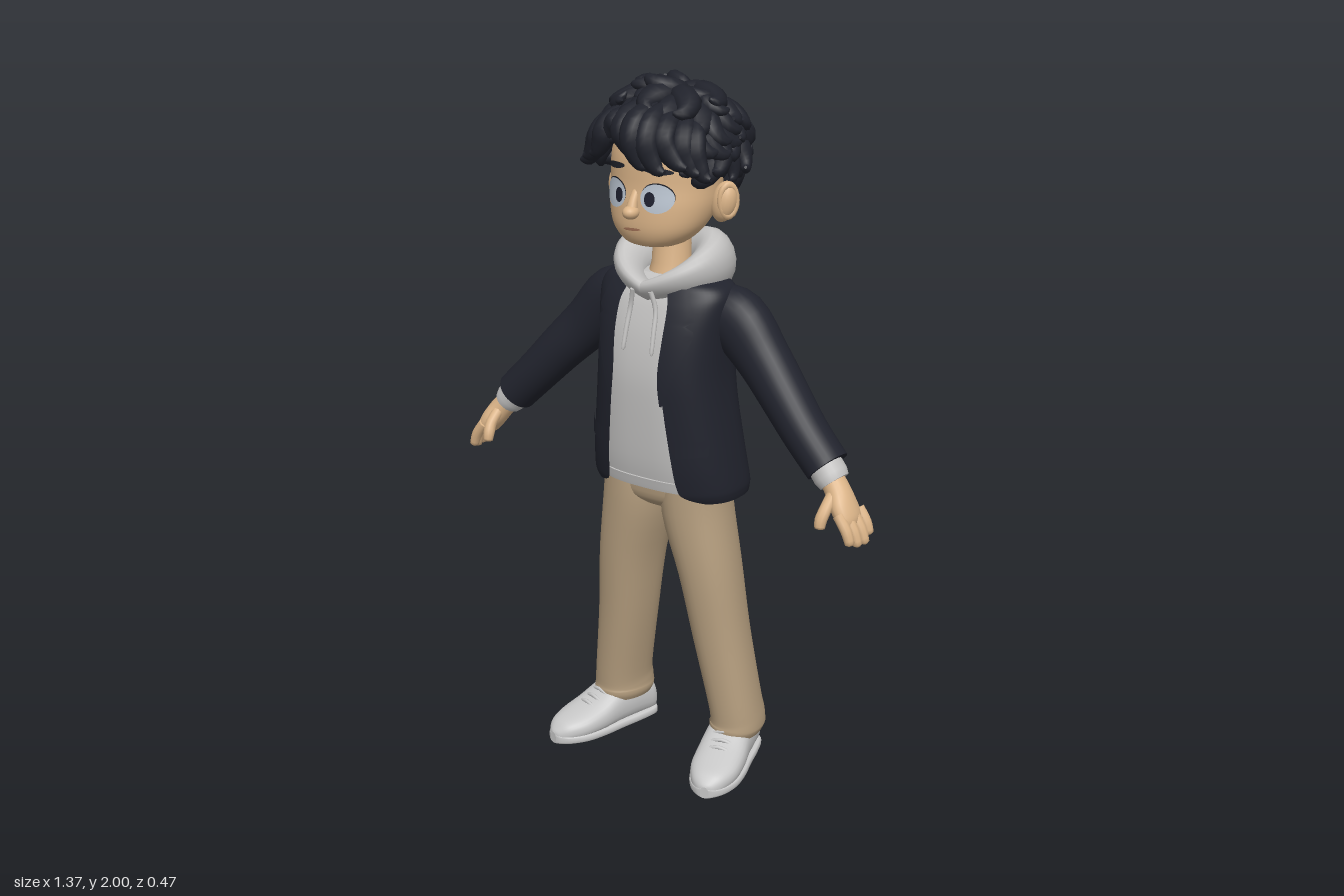
import * as THREE from 'three';
import { mergeGeometries } from 'three/addons/utils/BufferGeometryUtils.js';

const V = (x, y, z) => new THREE.Vector3(x, y, z);
const mat = (name, color, side = THREE.FrontSide) => {
  const m = new THREE.MeshStandardMaterial({ color, side });
  m.name = name;
  return m;
};

// Skin a list of rings; wrap closes each ring, caps close the ends
function loft(rings, wrap = true, caps = true) {
  const n = rings[0].length, pos = [], idx = [];
  rings.forEach(r => r.forEach(p => pos.push(p.x, p.y, p.z)));
  for (let i = 0; i < rings.length - 1; i++) {
    for (let j = 0; j < (wrap ? n : n - 1); j++) {
      const k = (j + 1) % n, a = i * n + j, b = i * n + k;
      idx.push(a, b, b + n, a, b + n, a + n);
    }
  }
  if (caps) {
    [rings[0], rings[rings.length - 1]].forEach((r, end) => {
      const base = pos.length / 3, c = V(0, 0, 0);
      r.forEach(p => { pos.push(p.x, p.y, p.z); c.addScaledVector(p, 1 / n); });
      pos.push(c.x, c.y, c.z);
      for (let j = 0; j < n; j++) {
        const k = (j + 1) % n;
        idx.push(base + n, base + (end ? j : k), base + (end ? k : j));
      }
    });
  }
  const g = new THREE.BufferGeometry();
  g.setAttribute('position', new THREE.Float32BufferAttribute(pos, 3));
  g.setIndex(idx);
  g.computeVertexNormals();
  return g;
}

// Spline through rows of numbers
function smooth(rows, k = 4) {
  const out = [], R = i => rows[Math.min(Math.max(i, 0), rows.length - 1)];
  for (let i = 0; i < rows.length - 1; i++) {
    for (let s = 0; s < k; s++) {
      const t = s / k;
      out.push(R(i).map((b, c) => {
        const a = R(i - 1)[c], d = R(i + 1)[c], e = R(i + 2)[c];
        return b + 0.5 * t * (d - a + t * (2 * a - 5 * b + 4 * d - e + t * (3 * (b - d) + e - a)));
      }));
    }
  }
  out.push(R(rows.length - 1));
  return out;
}
const pw = (v, n) => Math.sign(v) * Math.pow(Math.abs(v), 2 / n);

// Upright body from rows [y, halfWidth, zFront, zBack, frontOpening]
function body(rows, n = 2.3, open = false, seg = 48) {
  return loft(rows.map(([y, rx, zf, zb, o]) => {
    const a0 = open ? Math.asin(Math.pow(Math.min(o / rx, 1), n / 2)) : 0;
    return Array.from({ length: seg }, (_, j) => {
      const a = a0 + (2 * Math.PI - 2 * a0) * j / (open ? seg - 1 : seg);
      return V(rx * pw(Math.sin(a), n), y, (zf + zb) / 2 + (zf - zb) / 2 * pw(Math.cos(a), n));
    });
  }), !open, !open);
}
function rowAt(rows, y) {
  let i = 0;
  while (i < rows.length - 2 && rows[i + 1][0] < y) i++;
  const t = (y - rows[i][0]) / (rows[i + 1][0] - rows[i][0]);
  return rows[i].map((v, c) => v + (rows[i + 1][c] - v) * t);
}
function frontZ(rows, x, y, n) {
  const [, rx, zf, zb] = rowAt(rows, y);
  const q = Math.min(Math.abs(x) / rx, 1);
  return (zf + zb) / 2 + (zf - zb) / 2 * Math.pow(1 - Math.pow(q, n), 1 / n);
}

// Limb along rows [x, y, z, sideRadius, frontRadius]
function limb(rows, { ref = V(0, 0, 1), n = 2, seg = 20, dir = null } = {}) {
  const P = rows.map(r => V(r[0], r[1], r[2]));
  return loft(rows.map((r, i) => {
    const T = dir ? dir : P[Math.min(i + 1, P.length - 1)].clone().sub(P[Math.max(i - 1, 0)]).normalize();
    const S = T.clone().cross(ref).normalize(), F = S.clone().cross(T);
    return Array.from({ length: seg }, (_, j) => {
      const a = 2 * Math.PI * j / seg;
      return P[i].clone().addScaledVector(S, r[3] * pw(Math.sin(a), n)).addScaledVector(F, r[4] * pw(Math.cos(a), n));
    });
  }));
}
// Round-ended cord through points
const cord = (pts, r, seg = 10) => limb(smooth(pts.map((p, i) => {
  const q = i === pts.length - 1 ? r * 0.85 : r;
  return [...p, q, q];
}), 3).concat([[0, 1, 2].map(c => pts[pts.length - 1][c] + (pts[pts.length - 1][c] - pts[pts.length - 2][c]) * 0.16).concat(r * 0.35, r * 0.35)]), { seg });

const sheet = (nu, nv, fn) => loft(Array.from({ length: nv + 1 }, (_, i) =>
  Array.from({ length: nu + 1 }, (_, j) => V(...fn(j / nu, i / nv)))), false, false);

export function createModel() {
  const model = new THREE.Group();
  const skin = mat('skin', 0xdbb488), hair = mat('hair', 0x20222b), cloth = mat('jacket', 0x21232d, THREE.DoubleSide);
  const grey = mat('hoodie', 0xc3c2c1), tan = mat('trousers', 0xb49d7e), shoeMat = mat('shoes', 0xc8c8c8);
  const white = mat('eyeWhite', 0xbcc6d2), dark = mat('iris', 0x1d1f2e), lip = mat('lips', 0xa8765a);
  const add = (name, g, m, parent = model) => {
    const mesh = new THREE.Mesh(g, m);
    mesh.name = name;
    parent.add(mesh);
    return mesh;
  };
  const ball = (name, m, p, s) => {
    const b = add(name, new THREE.SphereGeometry(1, 20, 14), m);
    b.position.set(...p);
    b.scale.set(...s);
    return b;
  };

  // Jacket shell, open at the front, over the hoodie
  const coat = smooth([[0.828, 0.23, 0.115, -0.172, 0.185], [0.845, 0.234, 0.125, -0.175, 0.135], [0.87, 0.235, 0.132, -0.175, 0.118],
    [0.95, 0.225, 0.145, -0.165, 0.108], [1.1, 0.205, 0.155, -0.15, 0.09], [1.2, 0.197, 0.155, -0.145, 0.08], [1.3, 0.2, 0.14, -0.14, 0.085],
    [1.38, 0.208, 0.115, -0.13, 0.085], [1.42, 0.205, 0.095, -0.12, 0.075], [1.445, 0.18, 0.08, -0.11, 0.06], [1.46, 0.12, 0.06, -0.095, 0.04]]);
  add('jacket', body(coat, 2.5, true, 56), cloth);
  const shirt = coat.filter(r => r[0] > 0.85).map(([y, rx, zf, zb]) => [y, rx - 0.014, zf - 0.012, zb + 0.015]);
  add('hoodieBody', body(shirt, 2.5), grey);
  add('hoodieHem', body(shirt.filter(r => r[0] < 0.9).map(([y, rx, zf, zb]) => [y, rx, zf + 0.006, zb]), 2.5), grey);

  // Lapels and pocket flaps follow the jacket front
  const lapelEdge = [[1.12, 0.09], [1.33, 0.165], [1.345, 0.135], [1.36, 0.16], [1.445, 0.125]];
  for (const s of [1, -1]) {
    add('lapel', sheet(6, 24, (u, v) => {
      const y = 1.12 + 0.32 * v, a = rowAt(coat, y)[4] - 0.004, x = a + (rowAt(lapelEdge, y)[1] - a) * u;
      return [s * x, y, frontZ(coat, x, y, 2.5) + 0.008];
    }), cloth);
    add('pocketFlap', sheet(8, 2, (u, v) => {
      const x = 0.125 + 0.075 * u, y = 0.97 + 0.045 * v + 0.01 * u;
      return [s * x, y, frontZ(coat, x, y, 2.5) + 0.008];
    }), cloth);
  }

  // Hood resting around the neck, larger at the back, meeting in a V at the front
  const hoodRings = Array.from({ length: 49 }, (_, i) => {
    const a = 2 * Math.PI * i / 48, back = (1 - Math.cos(a)) / 2, side = Math.abs(Math.sin(a));
    const r = 0.036 + 0.034 * back, h = 0.034 + 0.05 * back + 0.016 * side;
    const c = V(0.119 * Math.sin(a), 1.42 + 0.045 * back + 0.04 * side, -0.02 + 0.108 * Math.cos(a));
    return Array.from({ length: 16 }, (_, j) => {
      const b = -2 * Math.PI * j / 16, o = r * Math.cos(b) + 0.025 * Math.sin(b) * (1 - 1.6 * back);
      return c.clone().add(V(Math.sin(a) * o, h * Math.sin(b), Math.cos(a) * o));
    });
  });
  add('hood', loft(hoodRings, true, false), grey);
  for (const s of [1, -1]) {
    add('drawstring', cord([[s * 0.03, 1.43, 0.122], [s * 0.042, 1.38, 0.115], [s * 0.046, 1.32, 0.13], [s * 0.048, 1.265, 0.143]], 0.007), grey);
  }

  // Sleeves, cuffs and hands
  for (const s of [1, -1]) {
    const flip = rows => rows.map(([x, ...r]) => [s * x, ...r]);
    add('sleeve', limb(smooth(flip([[0.13, 1.36, -0.04, 0.075, 0.08], [0.21, 1.338, -0.04, 0.092, 0.078], [0.3, 1.25, -0.03, 0.078, 0.072],
      [0.38, 1.17, -0.01, 0.07, 0.07], [0.46, 1.085, 0.008, 0.064, 0.066], [0.54, 1.005, 0.018, 0.061, 0.065]])), { seg: 28 }), cloth);
    add('cuff', limb(flip([[0.52, 1.025, 0.02, 0.047, 0.05], [0.555, 0.985, 0.025, 0.048, 0.05], [0.568, 0.97, 0.026, 0.042, 0.045]])), grey);
    add('palm', limb(smooth(flip([[0.55, 0.99, 0.025, 0.032, 0.034], [0.585, 0.95, 0.036, 0.034, 0.038], [0.61, 0.915, 0.045, 0.032, 0.048],
      [0.632, 0.883, 0.048, 0.025, 0.047], [0.643, 0.867, 0.048, 0.012, 0.035]]))), skin);
    [0.006, 0.034, 0.062, 0.087].forEach((z, i) => {
      const k = [0.8, 1, 1, 0.9][i], x = 0.634 - 0.2 * z;
      add('finger', cord(flip([[x, 0.905, z], [x + 0.03 * k, 0.905 - 0.042 * k, z + 0.002], [x + 0.044 * k, 0.905 - 0.08 * k, z + 0.002]]), 0.016), skin);
    });
    add('thumb', cord(flip([[0.582, 0.95, 0.055], [0.582, 0.918, 0.092], [0.578, 0.89, 0.11], [0.578, 0.868, 0.115]]), 0.017), skin);
  }

  // Trousers, the lower legs turned out with the feet
  add('hips', body(smooth([[0.765, 0.04, 0.03, -0.05], [0.79, 0.12, 0.075, -0.09], [0.83, 0.188, 0.1, -0.118], [0.95, 0.185, 0.102, -0.122]])), tan);
  const legs = { leftLeg: [0.23, 0.222, 0.182, 0.145, 0.1], rightLeg: [-0.185, -0.18, -0.153, -0.13, -0.1] };
  for (const [name, [a, b, c, d, e]] of Object.entries(legs)) {
    add(name, limb(smooth([[a, 0.095, -0.032, 0.07, 0.086], [a, 0.115, -0.032, 0.078, 0.095], [a, 0.14, -0.032, 0.076, 0.093],
      [b, 0.2, -0.026, 0.074, 0.09], [c, 0.4, -0.015, 0.08, 0.093], [d, 0.6, -0.008, 0.088, 0.103],
      [e, 0.78, -0.008, 0.1, 0.112], [e * 0.95, 0.9, -0.01, 0.093, 0.112]]), { n: 2.2, seg: 32, ref: V(Math.sign(a) * 0.2, 0, 0.98) }), tan);
  }

  // Shoes, toes turned outwards
  const last = smooth([[-0.13, 0.034, 0.07], [-0.112, 0.058, 0.12], [-0.05, 0.066, 0.15], [0.02, 0.069, 0.137],
    [0.09, 0.074, 0.1], [0.155, 0.07, 0.078], [0.205, 0.05, 0.062], [0.23, 0.026, 0.042], [0.237, 0.01, 0.032]]);
  const along = { ref: V(0, 1, 0), dir: V(0, 0, 1), seg: 28 };
  for (const s of [1, -1]) {
    const shoe = new THREE.Group();
    shoe.name = s > 0 ? 'leftShoe' : 'rightShoe';
    add('shoeUpper', limb(last.map(([z, w, h]) => [0, h / 2 + 0.003, z, w, h / 2]), { ...along, n: 2.4 }), shoeMat, shoe);
    add('sole', limb(last.map(([z, w]) => [0, 0.015, z, w + 0.003, 0.015]), { ...along, n: 4 }), shoeMat, shoe);
    for (const z of [0.055, 0.08, 0.105]) {
      const h = rowAt(last, z)[2];
      add('lace', cord([[-0.04, h - 0.012, z], [0, h + 0.003, z + 0.006], [0.04, h - 0.012, z]], 0.006), shoeMat, shoe);
    }
    shoe.position.set(s > 0 ? 0.226 : -0.198, 0, -0.002);
    shoe.rotation.y = s * 0.27;
    model.add(shoe);
  }

  // Head, neck, ears and nose
  const skull = smooth([[1.548, 0.035, 0.1, 0.02], [1.56, 0.085, 0.13, -0.02], [1.6, 0.128, 0.147, -0.07], [1.66, 0.15, 0.148, -0.12],
    [1.72, 0.152, 0.143, -0.14], [1.8, 0.15, 0.14, -0.15], [1.88, 0.125, 0.11, -0.13], [1.94, 0.06, 0.05, -0.08]]);
  add('head', body(skull, 2.2), skin);
  add('neck', limb([[0, 1.4, -0.005, 0.07, 0.07], [0, 1.48, -0.02, 0.056, 0.056], [0, 1.62, -0.025, 0.05, 0.05]]), skin);
  for (const s of [1, -1]) {
    ball('ear', skin, [s * 0.172, 1.672, -0.02], [0.036, 0.057, 0.034]).rotation.set(-0.15, s * -0.3, s * -0.2);
    const rim = add('earRim', new THREE.TorusGeometry(0.032, 0.009, 8, 20), skin);
    rim.position.set(s * 0.19, 1.678, -0.013);
    rim.scale.set(0.8, 1.3, 1);
    rim.rotation.set(0, s * 1.0, 0);
  }
  add('noseBridge', limb(smooth([[-0.006, 1.71, 0.135, 0.01, 0.008], [-0.006, 1.68, 0.15, 0.013, 0.012], [-0.006, 1.655, 0.158, 0.017, 0.016]])), skin);
  ball('noseTip', skin, [-0.006, 1.652, 0.16], [0.022, 0.019, 0.026]);

  // Thin face details laid on the head surface
  const patch = (name, m, x, y, rx, ry, lift, tilt = 0) => {
    const g = new THREE.RingGeometry(0.001, 1, 28, 6).scale(rx, ry, 1).rotateZ(tilt).translate(x, y, 0), p = g.attributes.position;
    for (let i = 0; i < p.count; i++) p.setZ(i, frontZ(skull, p.getX(i), p.getY(i), 2.2) + lift);
    g.computeVertexNormals();
    add(name, g, m);
  };
  for (const s of [1, -1]) {
    const x = -0.008 + s * 0.07;
    patch('lash', hair, x, 1.696, 0.045, 0.039, 0.002);
    patch('eyeWhite', white, x, 1.693, 0.045, 0.039, 0.004);
    patch('iris', dark, -0.006 + s * 0.051, 1.691, 0.015, 0.02, 0.006);
    patch('brow', hair, x, 1.768, 0.042, 0.009, 0.005, -s * 0.1);
  }
  patch('mouth', lip, -0.012, 1.603, 0.03, 0.004, 0.003, 0.08);

  // Curly hair: a cap covered with short curls, flowing roughly away from the crown
  ball('hairCap', hair, [-0.005, 1.81, -0.037], [0.176, 0.163, 0.163]);
  let seed = 11;
  const rnd = () => (seed = (seed * 16807) % 2147483647) / 2147483647;
  const locks = [], crown = V(0.1, 1, -0.25).normalize(), N = 165;
  for (let i = 0; i < N; i++) {
    const cy = 1 - 2 * (i + 0.5) / N, a = i * 2.39996, q = Math.sqrt(1 - cy * cy);
    const d = V(q * Math.cos(a), cy, q * Math.sin(a));
    const p = d.clone().multiply(V(0.18, 0.158, 0.163)).add(V(-0.014, 1.8, -0.032));
    const low = p.z < -0.08 ? 1.65 : p.z < 0.03 ? 1.765 : Math.abs(p.x) > 0.1 ? 1.8 : 1.865;
    if (p.y < low) continue;
    const t = d.clone().multiplyScalar(d.dot(crown)).sub(crown).normalize().applyAxisAngle(d, (rnd() - 0.5) * 1.9);
    const s = d.clone().cross(t), sway = rnd() < 0.5 ? -1 : 1, k = 0.8 + 0.45 * rnd(), lift = (rnd() - 0.5) * 0.024;
    const row = (f, n, w, r) => {
      const c = p.clone().addScaledVector(t, f * k).addScaledVector(d, n + lift).addScaledVector(s, w * sway * k);
      return [c.x, c.y, c.z, r * k, r * 0.85 * k];
    };
    locks.push(limb(smooth([row(-0.045, -0.025, -0.015, 0.012), row(-0.022, 0, -0.008, 0.028), row(0.012, 0.012, -0.004, 0.032),
      row(0.038, 0.022, 0.014, 0.024), row(0.046, 0.028, 0.036, 0.015), row(0.038, 0.03, 0.05, 0.005)], 2), { ref: d, seg: 9 }));
  }
  // Fringe curls, parted to show some forehead, rounded off towards the temples
  for (const [x, drop, out] of [[-0.178, 0.025, 0], [-0.148, 0.005, 0.005], [-0.115, -0.01, 0.005], [-0.07, -0.06, -0.005], [-0.02, -0.025, 0.005],
    [0.025, -0.004, 0.027], [0.065, 0.005, 0.026], [0.105, -0.008, 0.012], [0.14, 0.01, 0], [0.165, 0.025, 0]]) {
    const k = Math.sqrt(1 - (x / 0.215) ** 2), z = v => v * k + out, e = Math.sign(x + 0.06) * (0.014 + 0.012 * rnd());
    const low = 1.6 * x * x;
    locks.push(limb(smooth([[x * 0.72, 1.93 - low, z(0.06), 0.02, 0.02], [x * 0.92 - e * 0.6, 1.905 - low, z(0.125), 0.035, 0.03],
      [x - e * 0.6, 1.86 - drop / 2 - low / 2, z(0.157), 0.036, 0.03], [x + e * 0.2, 1.815 - drop, z(0.158), 0.03, 0.024],
      [x + 1.4 * e, 1.787 - drop, z(0.156), 0.02, 0.016], [x + 2.6 * e, 1.782 - drop, z(0.158), 0.006, 0.006]], 3), { seg: 12 }));
  }
  add('hairLocks', mergeGeometries(locks), hair);
  return model;
}
